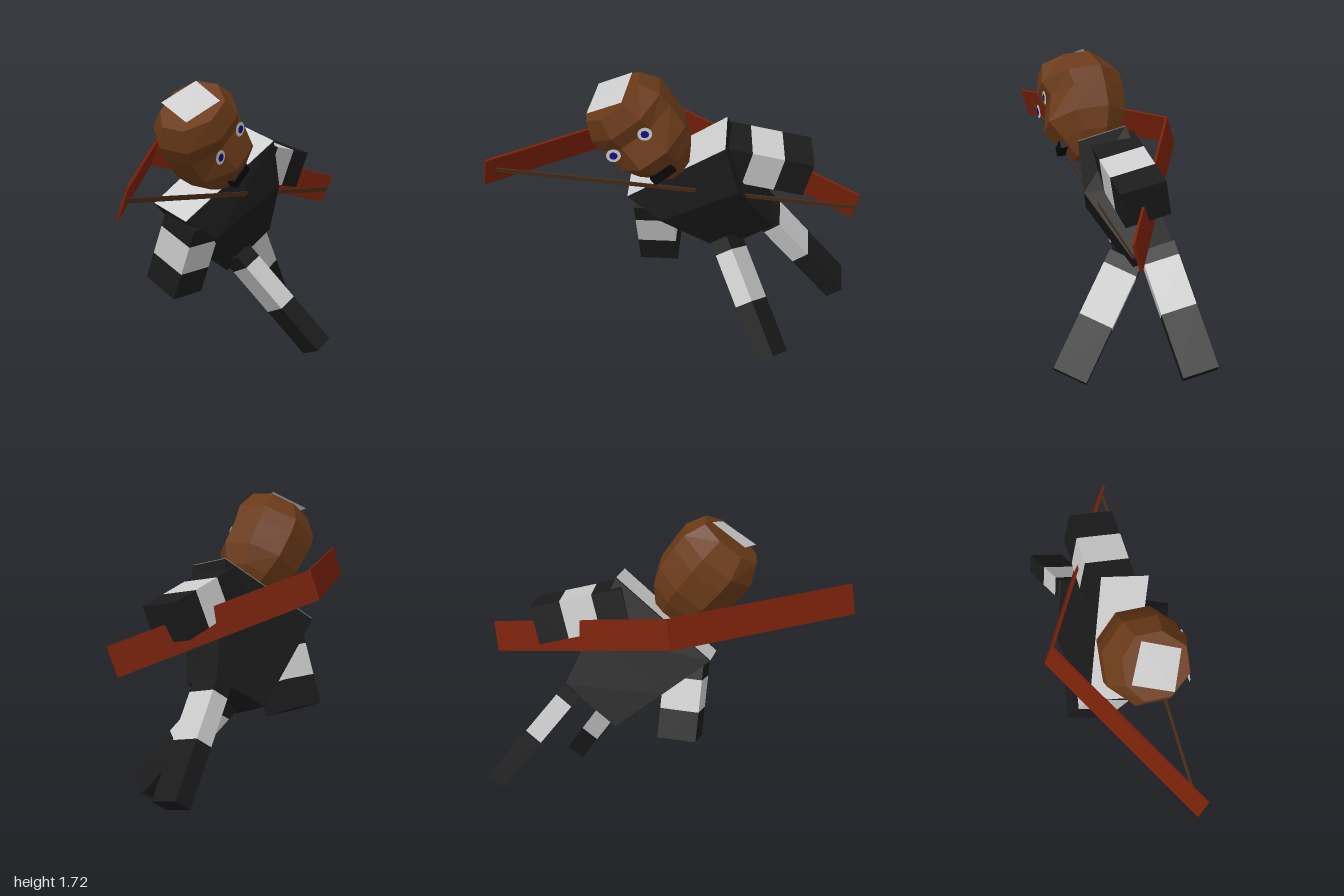
import * as THREE from 'three';

const V = (a) => new THREE.Vector3(...a);
const paint = (color) => new THREE.MeshStandardMaterial({ color, flatShading: true, side: THREE.DoubleSide });
const dark = paint(0x1b1b1b), pale = paint(0xcccccc), fur = paint(0x6a3a18);
const wood = paint(0x782109), cord = paint(0x4e301a), blue = paint(0x10108a), black = paint(0x080808);

// Orthonormal frame: y is exact, x is squared up to it
function frame(xDir, yDir, origin) {
  const y = V(yDir).normalize();
  const x = V(xDir).addScaledVector(y, -V(xDir).dot(y)).normalize();
  const z = x.clone().cross(y);
  return new THREE.Matrix4().makeBasis(x, y, z).setPosition(V(origin));
}

function add(parent, name, geometry, material, matrix) {
  const mesh = new THREE.Mesh(geometry, material);
  mesh.name = name;
  if (matrix) matrix.decompose(mesh.position, mesh.quaternion, mesh.scale);
  parent.add(mesh);
  return mesh;
}

// Closed skin over rings listed from bottom to top
function loft(rings) {
  const n = rings[0].length, index = [];
  for (let r = 0; r < rings.length - 1; r++) {
    for (let i = 0; i < n; i++) {
      const j = (i + 1) % n, a = r * n + i, b = r * n + j;
      index.push(a, b, b + n, a, b + n, a + n);
    }
  }
  const top = (rings.length - 1) * n;
  for (let i = 1; i < n - 1; i++) {
    index.push(0, i + 1, i, top, top + i, top + i + 1);
  }
  const g = new THREE.BufferGeometry();
  g.setAttribute('position', new THREE.Float32BufferAttribute(rings.flat(2), 3));
  g.setIndex(index);
  g.computeVertexNormals();
  return g;
}

// Flat four-cornered patch: top left, top right, bottom left, bottom right
function patch(corners) {
  const g = new THREE.PlaneGeometry(1, 1);
  corners.forEach((c, i) => g.attributes.position.setXYZ(i, ...c));
  g.computeVertexNormals();
  return g;
}

// Banded box limb, built from its tip back towards the body
function limb(name, tip, dir, side, w, d, lengths) {
  const g = new THREE.Group();
  g.name = name;
  const back = dir.map((v) => -v);
  frame(side, back, tip).decompose(g.position, g.quaternion, g.scale);
  let at = 0;
  lengths.forEach((len, i) => {
    const band = add(g, ['end', 'band', 'root'][i], new THREE.BoxGeometry(w, len, d), i === 1 ? pale : dark);
    band.position.y = at + len / 2;
    at += len;
  });
  return g;
}

// Straight bar between two points
function bar(parent, name, a, b, up, height, thick, material) {
  const dir = V(b).sub(V(a));
  const mid = V(a).add(V(b)).multiplyScalar(0.5);
  add(parent, name, new THREE.BoxGeometry(height, dir.length(), thick), material,
    frame(up, dir.toArray(), mid.toArray()));
}

export function createModel() {
  const model = new THREE.Group();
  model.name = 'archer';

  // Torso: waist, belly and shoulder rings
  const shoulders = [[-0.29, 0.93, 0.13], [0.29, 1.33, 0.19], [0.24, 1.4, -0.07], [-0.33, 1.0, -0.11]];
  const belly = [[-0.09, 0.81, 0.15], [0.36, 1.06, 0.16], [0.35, 1.1, -0.2], [-0.09, 0.8, -0.22]];
  const waist = [[0.2, 0.52, -0.12], [0.51, 0.73, -0.1], [0.46, 0.81, -0.32], [0.155, 0.6, -0.33]];
  add(model, 'torso', loft([waist, belly, shoulders]), dark);
  const lifted = shoulders.map(([x, y, z]) => [x - 0.002, y + 0.004, z + 0.001]);
  add(model, 'shoulderTop', patch([lifted[3], lifted[2], lifted[0], lifted[1]]), pale);

  // Arms and legs
  model.add(
    limb('leftArm', [0.68, 1.105, -0.165], [0.92, -0.24, -0.3], [0.065, 0.21, 0.03], 0.22, 0.255, [0.17, 0.185, 0.17]),
    limb('rightArm', [-0.17, 0.495, -0.15], [-0.03, -0.92, -0.38], [1, 0, -0.15], 0.22, 0.24, [0.17, 0.185, 0.11]),
    limb('leftLeg', [0.833, 0.194, -0.457], [0.555, -0.778, -0.305], [0.8, 0.55, 0], 0.11, 0.2, [0.36, 0.29, 0.08]),
    limb('rightLeg', [0.595, 0.065, 0.243], [0.48, -0.76, 0.43], [0.83, 0.55, 0], 0.11, 0.2, [0.335, 0.32, 0.08]),
  );

  // Head: faceted rings of height, half width, front and back depth
  const head = new THREE.Group();
  head.name = 'head';
  const turn = frame([0.77, 0.61, -0.18], [-0.57, 0.78, 0.21], [-0.2, 1.41, 0.17]);
  const rings = [
    [-0.33, 0.09, 0.11, 0.08],
    [-0.23, 0.18, 0.17, 0.16],
    [-0.12, 0.225, 0.24, 0.22],
    [0.03, 0.24, 0.195, 0.24],
    [0.12, 0.24, 0.23, 0.235],
    [0.235, 0.185, 0.2, 0.15],
  ].map(([y, w, f, b]) => Array.from({ length: 8 }, (_, i) => {
    const t = ((i + 0.5) / 8) * Math.PI * 2;
    const s = 1.06 * Math.sin(t);
    return [1.06 * w * Math.cos(t), y, -s * (s > 0 ? b : f)];
  }));
  add(head, 'skull', loft(rings), fur, turn);
  add(head, 'crownPatch', patch([
    [-0.445, 1.61, 0.12], [-0.24, 1.715, 0.16], [-0.445, 1.53, 0.345], [-0.24, 1.63, 0.37],
  ]), pale);

  // Eyes and mouth
  for (const [name, p] of [['rightEye', [-0.275, 1.335, 0.42]], ['leftEye', [-0.11, 1.465, 0.38]]]) {
    const eye = new THREE.Group();
    eye.name = name;
    eye.position.copy(V(p));
    eye.quaternion.setFromRotationMatrix(turn);
    add(eye, 'white', new THREE.CircleGeometry(0.04, 16), pale);
    add(eye, 'iris', new THREE.CircleGeometry(0.022, 16), blue).position.z = 0.004;
    head.add(eye);
  }
  const mouth = add(head, 'mouth', new THREE.BoxGeometry(0.14, 0.05, 0.05), black, turn);
  mouth.position.set(-0.04, 1.19, 0.28);
  model.add(head);

  // Bow: two thin flat boards meeting behind the back, and the string
  const bow = new THREE.Group();
  bow.name = 'bow';
  const up = [0.2, 0.97, 0.25], grip = [-0.17, 1.25, -0.335];
  bar(bow, 'rightBoard', grip, [-0.98, 1.195, 0.525], up, 0.175, 0.014, wood);
  bar(bow, 'leftBoard', grip, [0.977, 0.92, -0.11], up, 0.175, 0.014, wood);
  bar(bow, 'string', [-0.95, 1.2, 0.49], [0.965, 0.92, -0.095], up, 0.028, 0.005, cord);
  model.add(bow);

  return model;
}
